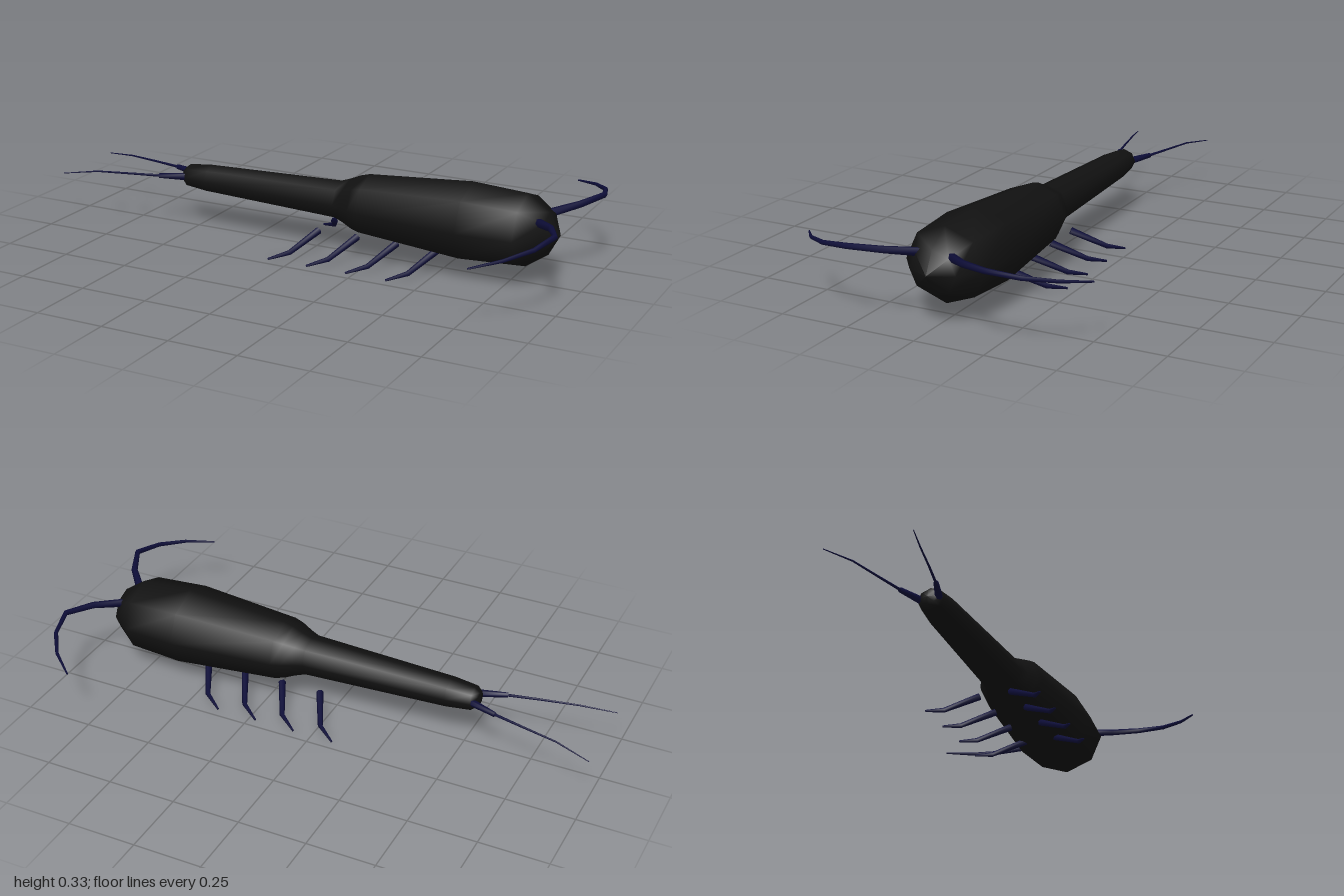
import * as THREE from 'three';

const shell = new THREE.MeshStandardMaterial({ name: 'black shell', color: 0x111111 });
const limb = new THREE.MeshStandardMaterial({ name: 'dark navy limb', color: 0x0d0d38 });

const SIDES = 6;

// Tapered limb: one polygon ring per joint, closed to a point at both ends.
// Each joint is [x, y, z, radius].
function limbGeometry(joints) {
  const centres = joints.map(([x, y, z]) => new THREE.Vector3(x, y, z));
  const last = joints.length - 1;
  const positions = [];
  const indices = [];
  const ring = (centre, tangent, radius) => {
    const side = new THREE.Vector3(0, 1, 0).cross(tangent).normalize();
    const up = tangent.clone().cross(side);
    for (let k = 0; k < SIDES; k++) {
      const a = (k / SIDES) * Math.PI * 2;
      const p = centre.clone()
        .addScaledVector(side, Math.cos(a) * radius)
        .addScaledVector(up, Math.sin(a) * radius);
      positions.push(p.x, p.y, p.z);
    }
  };
  joints.forEach((joint, i) => {
    const tangent = centres[Math.min(i + 1, last)].clone()
      .sub(centres[Math.max(i - 1, 0)]).normalize();
    ring(centres[i], tangent, joint[3]);
  });
  for (let i = 0; i < last; i++) {
    for (let k = 0; k < SIDES; k++) {
      const a = i * SIDES + k;
      const b = i * SIDES + (k + 1) % SIDES;
      indices.push(a, b, a + SIDES, b, b + SIDES, a + SIDES);
    }
  }
  // End caps
  const end = last * SIDES;
  for (let k = 1; k < SIDES - 1; k++) {
    indices.push(0, k + 1, k, end, end + k, end + k + 1);
  }
  const geometry = new THREE.BufferGeometry();
  geometry.setAttribute('position', new THREE.Float32BufferAttribute(positions, 3));
  geometry.setIndex(indices);
  geometry.computeVertexNormals();
  return geometry;
}

// Adds a limb on each side of the body
function addPair(group, name, joints) {
  for (const s of [1, -1]) {
    const mirrored = joints.map(([x, y, z, r]) => [x, y, z * s, r]);
    const mesh = new THREE.Mesh(limbGeometry(mirrored), limb);
    mesh.name = (s > 0 ? 'front' : 'back') + name;
    group.add(mesh);
  }
}

export function createModel() {
  const model = new THREE.Group();
  model.name = 'copepod';

  // Eight-sided body, turned along x: tail, waist, broad thorax, blunt head
  const profile = [
    [0, -0.555], [0.03, -0.55], [0.048, -0.53], [0.059, -0.44], [0.08, 0.1],
    [0.094, 0.135], [0.114, 0.175], [0.125, 0.21], [0.16, 0.6], [0.147, 0.8],
    [0.085, 0.88], [0, 0.92],
  ].map(([r, x]) => new THREE.Vector2(r, x));
  const bodyGeometry = new THREE.LatheGeometry(profile, 8);
  bodyGeometry.rotateZ(-Math.PI / 2);
  bodyGeometry.scale(1, 0.89, 1);
  const body = new THREE.Mesh(bodyGeometry, shell);
  body.name = 'body';
  body.position.y = 0.195;
  body.rotation.z = -0.004;
  model.add(body);

  // Long curved antennae
  addPair(model, 'Antenna', [
    [0.86, 0.245, 0.06, 0.015], [0.935, 0.262, 0.145, 0.012], [0.985, 0.273, 0.25, 0.01],
    [0.955, 0.258, 0.36, 0.008], [0.89, 0.242, 0.452, 0.006], [0.8, 0.224, 0.525, 0.003],
  ]);

  // Four pairs of swimming legs, swept back
  for (let i = 0; i < 4; i++) {
    const x = i * 0.153;
    addPair(model, 'Leg' + (i + 1), [
      [x + 0.04, 0.088, 0.06, 0.013], [x - 0.018, 0.03, 0.175, 0.009],
      [x - 0.083, 0.008, 0.217, 0.004],
    ]);
  }

  // Forked tail with fine bristles
  addPair(model, 'TailFork', [[-0.52, 0.198, 0.028, 0.014], [-0.63, 0.198, 0.065, 0.009]]);
  addPair(model, 'TailBristle', [
    [-0.62, 0.198, 0.062, 0.005], [-0.74, 0.197, 0.09, 0.004],
    [-0.87, 0.195, 0.118, 0.003], [-1, 0.179, 0.155, 0.0015],
  ]);

  return model;
}
